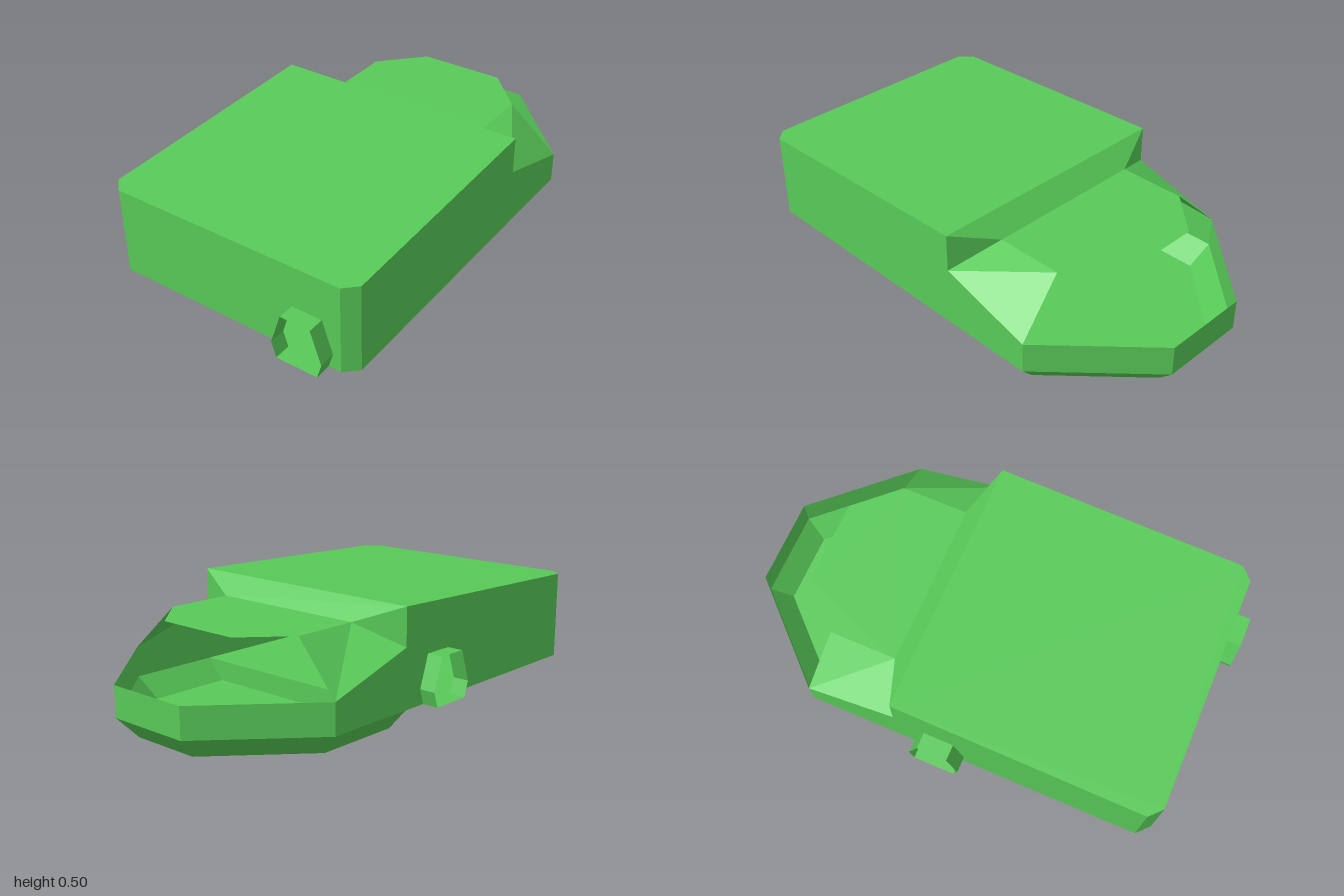
import * as THREE from 'three';

const material = new THREE.MeshStandardMaterial({ color: 0x58ca58, flatShading: true, side: THREE.DoubleSide });

// One mesh from a list of flat polygons, each a loop of [x, y, z] corners
function panels(name, polygons) {
  const positions = [];
  for (const polygon of polygons) {
    const pts = polygon.map((p) => new THREE.Vector3(...p));
    // Flatten along the main direction of the loop's normal, then triangulate
    const n = new THREE.Vector3();
    pts.forEach((p, i) => n.add(p.clone().cross(pts[(i + 1) % pts.length])));
    const size = n.toArray().map(Math.abs);
    const axis = size.indexOf(Math.max(...size));
    const flat = pts.map((p) => {
      const c = p.toArray();
      return new THREE.Vector2(c[(axis + 1) % 3], c[(axis + 2) % 3]);
    });
    for (const [a, b, c] of THREE.ShapeUtils.triangulateShape(flat, [])) {
      const faceNormal = pts[b].clone().sub(pts[a]).cross(pts[c].clone().sub(pts[a]));
      const order = faceNormal.dot(n) >= 0 ? [a, b, c] : [a, c, b];
      for (const i of order) positions.push(...pts[i].toArray());
    }
  }
  const geometry = new THREE.BufferGeometry();
  geometry.setAttribute('position', new THREE.Float32BufferAttribute(positions, 3));
  geometry.computeVertexNormals();
  const mesh = new THREE.Mesh(geometry, material);
  mesh.name = name;
  return mesh;
}

// Mirrors a loop across x = 0, keeping it facing outward
const mirror = (loop) => loop.map(([x, y, z]) => [-x, y, z]).reverse();

// Quads joining two matching loops
function bridge(a, b, closed = false) {
  const quads = [];
  for (let i = 0; i < a.length - (closed ? 0 : 1); i++) {
    const j = (i + 1) % a.length;
    quads.push([a[i], a[j], b[j], b[i]]);
  }
  return quads;
}

export function createModel() {
  const model = new THREE.Group();
  model.name = 'hollowHull';
  const hull = new THREE.Group();
  hull.name = 'hull';
  hull.position.x = 0.032;
  model.add(hull);

  const W = 0.565, IN = 0.357, FRONT = 0.93, CORNER = 0.88, BACK = -0.2, FLOOR = 0.09;
  const roofY = (z) => 0.5 - (0.035 * (z - BACK)) / (FRONT - BACK);

  // Porthole outline: [offset along the wall, height]
  const hex = [[-0.09, FLOOR], [-0.11, 0.155], [-0.065, 0.29], [0.065, 0.29], [0.11, 0.155], [0.09, FLOOR]];
  const portX = 0.368;

  // Roof and floor of the main body
  const plan = (y) => [[-W, BACK], [-W, CORNER], [-W + 0.053, FRONT], [W - 0.053, FRONT], [W, CORNER], [W, BACK]]
    .map(([x, z]) => [x, y(z), z]);
  hull.add(panels('roof', [plan(roofY)]));
  hull.add(panels('floor', [plan(() => FLOOR).reverse()]));

  // Front wall, notched around its porthole, with chamfered corners
  const f = W - 0.053;
  hull.add(panels('frontWall', [[
    [-f, FLOOR, FRONT], ...hex.map(([u, y]) => [portX + u, y, FRONT]),
    [f, FLOOR, FRONT], [f, roofY(FRONT), FRONT], [-f, roofY(FRONT), FRONT],
  ]]));
  const corner = [[f, FLOOR, FRONT], [W, FLOOR, CORNER], [W, roofY(CORNER), CORNER], [f, roofY(FRONT), FRONT]];
  hull.add(panels('frontCorners', [corner, mirror(corner)]));

  // Side walls; the right one is notched around its porthole
  const sideTop = [[W, 0.22, -0.6], [W, 0.34, BACK], [W, 0.5, BACK], [W, roofY(CORNER), CORNER]];
  hull.add(panels('leftWall', [[[W, FLOOR, CORNER], [W, FLOOR, -0.6], ...sideTop]]));
  hull.add(panels('rightWall', [[
    [-W, FLOOR, -0.6], ...hex.map(([u, y]) => [-W, y, u]), [-W, FLOOR, CORNER],
    ...sideTop.map(([x, y, z]) => [-x, y, z]).reverse(),
  ]]));

  // Slope from the roof down to the rear deck, with its end triangles
  const gusset = [[W, 0.5, BACK], [W, 0.34, BACK], [IN, 0.42, -0.28]];
  hull.add(panels('rearSlope', [
    [[-W, 0.5, BACK], [W, 0.5, BACK], [IN, 0.42, -0.28], [-IN, 0.42, -0.28]],
    gusset, mirror(gusset),
  ]));

  // Sloping shoulders beside the deck
  const shoulder = [[W, 0.34, BACK], [W, 0.22, -0.6], [IN, 0.42, -0.57], [IN, 0.42, -0.28]];
  hull.add(panels('shoulders', [shoulder, mirror(shoulder)]));

  // Flat deck reaching back as a visor over the open bay
  hull.add(panels('deckVisor', [[
    [-IN, 0.42, -0.28], [IN, 0.42, -0.28], [IN, 0.42, -0.57],
    [0.188, 0.42, -0.75], [-0.188, 0.42, -0.75], [-IN, 0.42, -0.57],
  ]]));

  // Open rear bay: upright rim, bevelled keel and lowered floor
  const rim = (y) => [[W, y, -0.6], [0.188, y, -1], [-0.188, y, -1], [-W, y, -0.6]];
  hull.add(panels('bayRim', bridge(rim(FLOOR), rim(0.22))));
  const keelTop = [[W, FLOOR, BACK], ...rim(FLOOR), [-W, FLOOR, BACK]];
  const keelBottom = [[0.485, 0, BACK], [0.485, 0, -0.57], [0.155, 0, -0.92],
    [-0.155, 0, -0.92], [-0.485, 0, -0.57], [-0.485, 0, BACK]];
  hull.add(panels('keelBevel', bridge(keelBottom, keelTop)));
  hull.add(panels('bayFloor', [keelBottom]));
  hull.add(panels('bayStep', [[[-W, FLOOR, BACK], keelBottom[5], keelBottom[0], [W, FLOOR, BACK]]]));

  // Porthole collars, open at the ends
  const collar = (place) => bridge(hex.map((p) => place(p, 0)), hex.map((p) => place(p, 0.069)), true);
  hull.add(panels('frontPorthole', collar(([u, y], d) => [portX + u, y, FRONT + d])));
  hull.add(panels('rightPorthole', collar(([u, y], d) => [-W - d, y, u])));

  return model;
}
